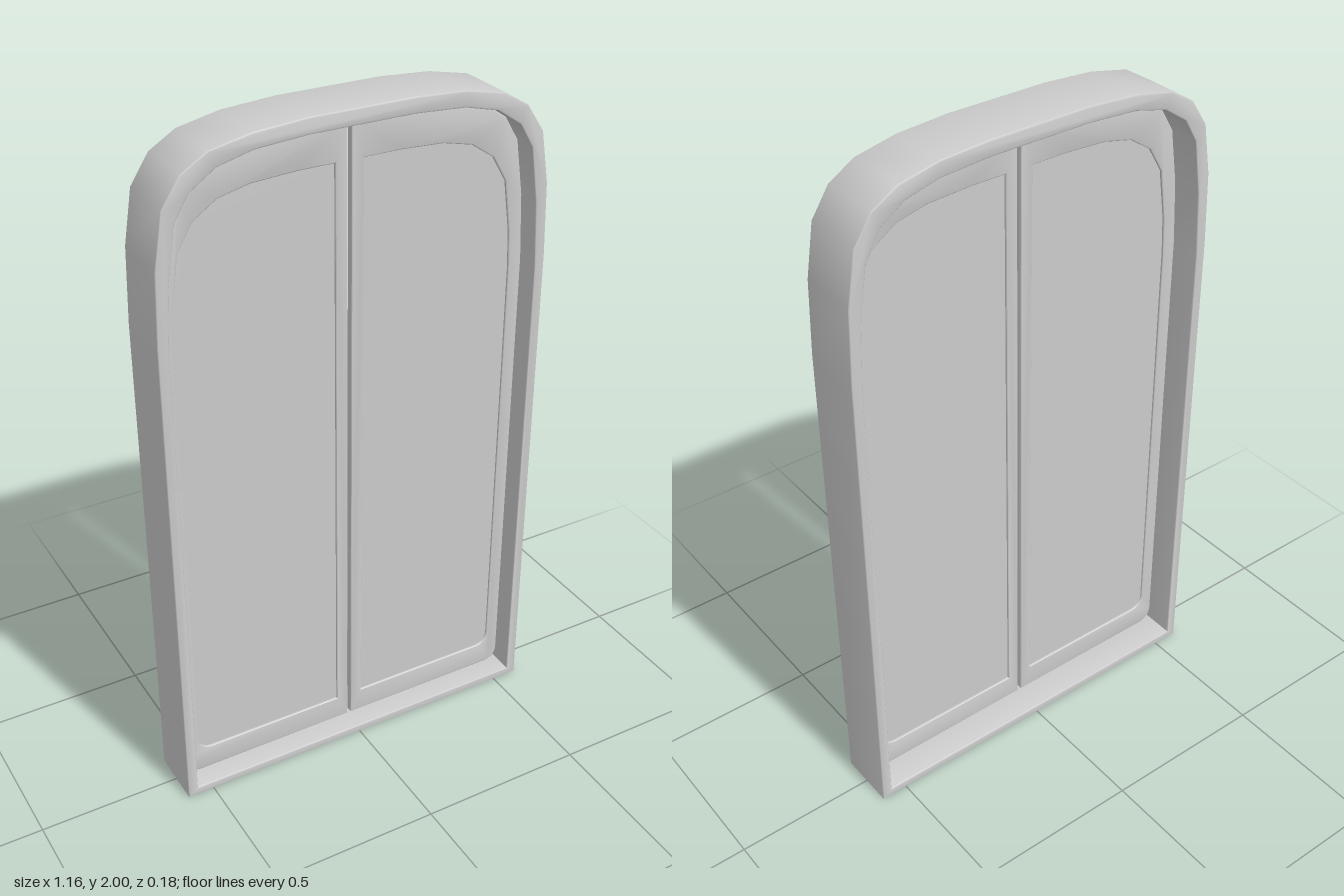
import * as THREE from 'three';
import { toCreasedNormals } from 'three/addons/utils/BufferGeometryUtils.js';

const material = new THREE.MeshStandardMaterial({ color: 0xcccccc });

// Right-hand halves of the arches, from the straight side up to the flat top
const outerArch = [[0.58, 1.48], [0.573, 1.69], [0.548, 1.84], [0.495, 1.92], [0.42, 1.965], [0.3, 1.99], [0.15, 2]];
const innerArch = [[0.55, 1.45], [0.54, 1.64], [0.516, 1.8], [0.474, 1.87], [0.4, 1.92], [0.3, 1.945], [0.15, 1.955]];
const panelArch = [[0.51, 1.43], [0.505, 1.54], [0.484, 1.69], [0.44, 1.765], [0.37, 1.812], [0.28, 1.833], [0.15, 1.84]];

const toPoints = (list) => list.map(([x, y]) => new THREE.Vector2(x, y));

// Full symmetric arch standing on a square base
function archPoints(arch, base) {
  const half = [[arch[0][0], base], ...arch];
  return toPoints([...half, ...half.map(([x, y]) => [-x, y]).reverse()]);
}

// One leaf: straight inner edge, rounded lower outer corner, arched top
function leafPoints(arch, inner, base, radius, side) {
  const w = arch[0][0], list = [[inner, base]];
  for (let i = 0; i <= 5; i++) {
    const a = (i / 5) * Math.PI / 2;
    list.push([w - radius + radius * Math.sin(a), base + radius - radius * Math.cos(a)]);
  }
  list.push(...arch, [inner, arch[arch.length - 1][1]]);
  const points = toPoints(list.map(([x, y]) => [side * x, y]));
  return side > 0 ? points : points.reverse(); // keep the winding when mirrored
}

// Slab centred on z, with small rounded edges kept inside its outline
function slab(name, points, z, thickness, bevel, hole) {
  const shape = new THREE.Shape(points);
  if (hole) shape.holes.push(new THREE.Path(hole));
  const geometry = new THREE.ExtrudeGeometry(shape, {
    depth: thickness - 2 * bevel, bevelEnabled: bevel > 0,
    bevelThickness: bevel, bevelSize: bevel, bevelOffset: -bevel, bevelSegments: 3,
  });
  geometry.translate(0, 0, z + bevel - thickness / 2);
  const mesh = new THREE.Mesh(toCreasedNormals(geometry, 0.6), material);
  mesh.name = name;
  return mesh;
}

export function createModel() {
  const model = new THREE.Group();
  model.name = 'archedDoubleDoor';

  // Deep surround
  model.add(slab('frame', archPoints(outerArch, 0), 0, 0.183, 0.004, archPoints(innerArch, 0.025)));

  // Two mirrored thin leaves, set forward of centre, with a sunken panel on both faces
  const doorZ = 0.012;
  for (const side of [1, -1]) {
    const leaf = new THREE.Group();
    leaf.name = side > 0 ? 'leftDoor' : 'rightDoor';
    const opening = leafPoints(panelArch, 0.042, 0.1, 0.04, side);
    leaf.add(slab('doorRim', leafPoints(innerArch, 0.006, 0.025, 0.04, side), doorZ, 0.024, 0.003, opening));
    leaf.add(slab('doorPanel', opening, doorZ, 0.01, 0));
    model.add(leaf);
  }
  return model;
}
